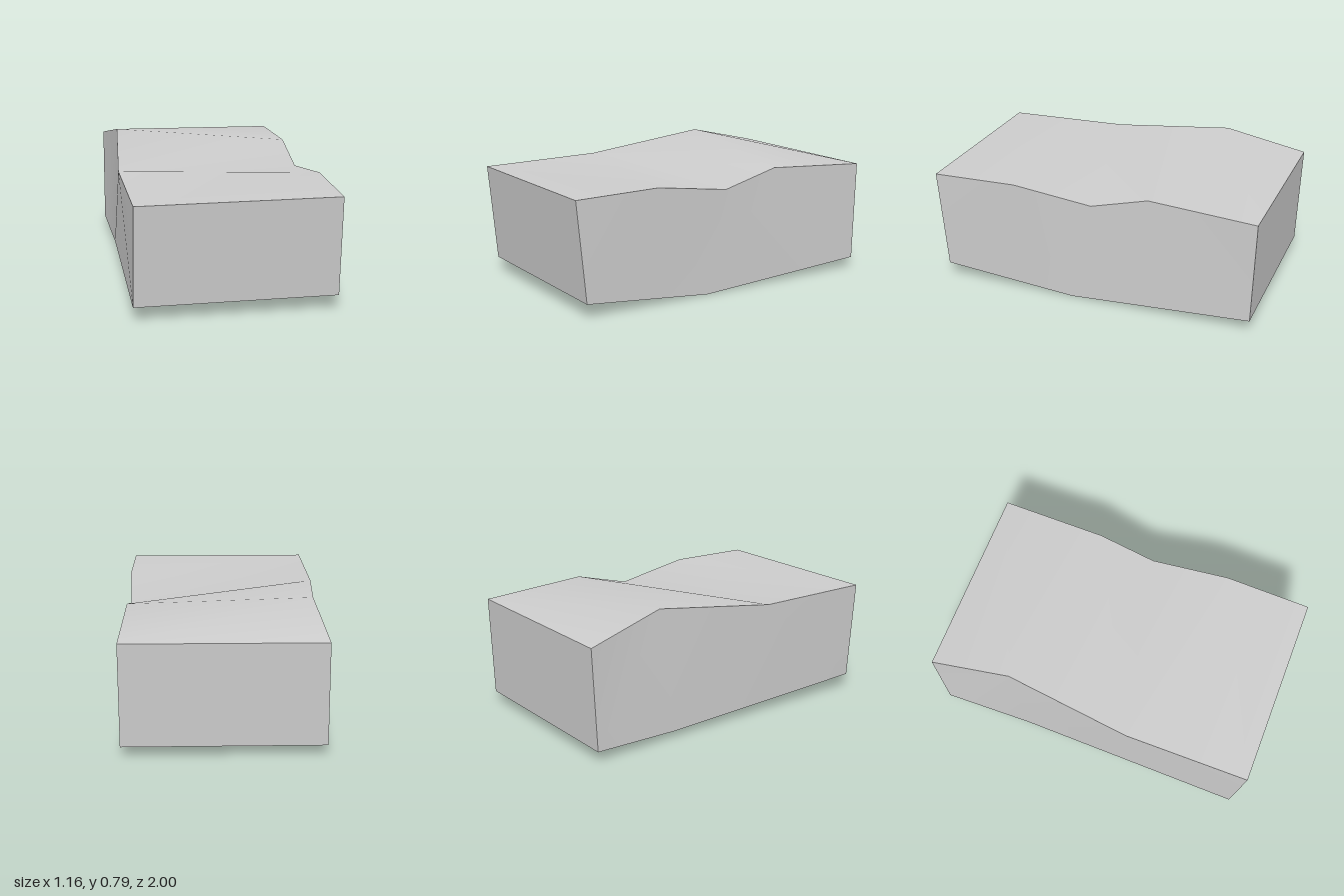
import * as THREE from 'three';

const stone = new THREE.MeshStandardMaterial({ color: 0xcccccc });
stone.name = 'light grey';

// The four long edges of the block, each running from front to back
const leftTop = [[-0.58, 0.675, 1], [-0.585, 0.685, 0.25], [-0.52, 0.785, -0.51], [-0.57, 0.67, -1]];
const rightTop = [[0.575, 0.675, 1], [0.58, 0.685, 0.48], [0.555, 0.615, 0], [0.56, 0.708, -0.35], [0.58, 0.67, -0.995]];
const leftBottom = [[-0.585, 0.087, 0.945], [-0.555, 0.04, -0.43], [-0.575, 0.065, -0.975]];
const rightBottom = [[0.58, 0.087, 0.945], [0.56, 0, 0.13], [0.58, 0.065, -0.975]];

// Zips two edges into one surface; a lies to the left of b seen from outside
function panel(name, a, b) {
  const index = [];
  let i = 0, j = 0;
  while (i < a.length - 1 || j < b.length - 1) {
    const stepB = j < b.length - 1 &&
      (i === a.length - 1 || b[j + 1][2] >= a[i + 1][2] - 0.02);
    if (stepB) {
      index.push(i, a.length + j, a.length + j + 1);
      j++;
    } else {
      index.push(i, a.length + j, i + 1);
      i++;
    }
  }
  const geometry = new THREE.BufferGeometry();
  geometry.setAttribute('position', new THREE.Float32BufferAttribute([...a, ...b].flat(), 3));
  geometry.setIndex(index);
  geometry.computeVertexNormals();
  const mesh = new THREE.Mesh(geometry, stone);
  mesh.name = name;
  return mesh;
}

export function createModel() {
  const block = new THREE.Group();
  block.name = 'stoneBlock';
  const last = (edge) => edge[edge.length - 1];

  block.add(
    // Wavy top, smoothly shaded
    panel('wavyTop', leftTop, rightTop),
    // Long sides and the shallow keel underneath
    panel('leftSide', rightTop, rightBottom),
    panel('rightSide', leftBottom, leftTop),
    panel('underside', rightBottom, leftBottom),
    // Ends
    panel('frontEnd', [rightTop[0], rightBottom[0]], [leftTop[0], leftBottom[0]]),
    panel('backEnd', [last(rightBottom), last(rightTop)], [last(leftBottom), last(leftTop)]),
  );
  return block;
}
